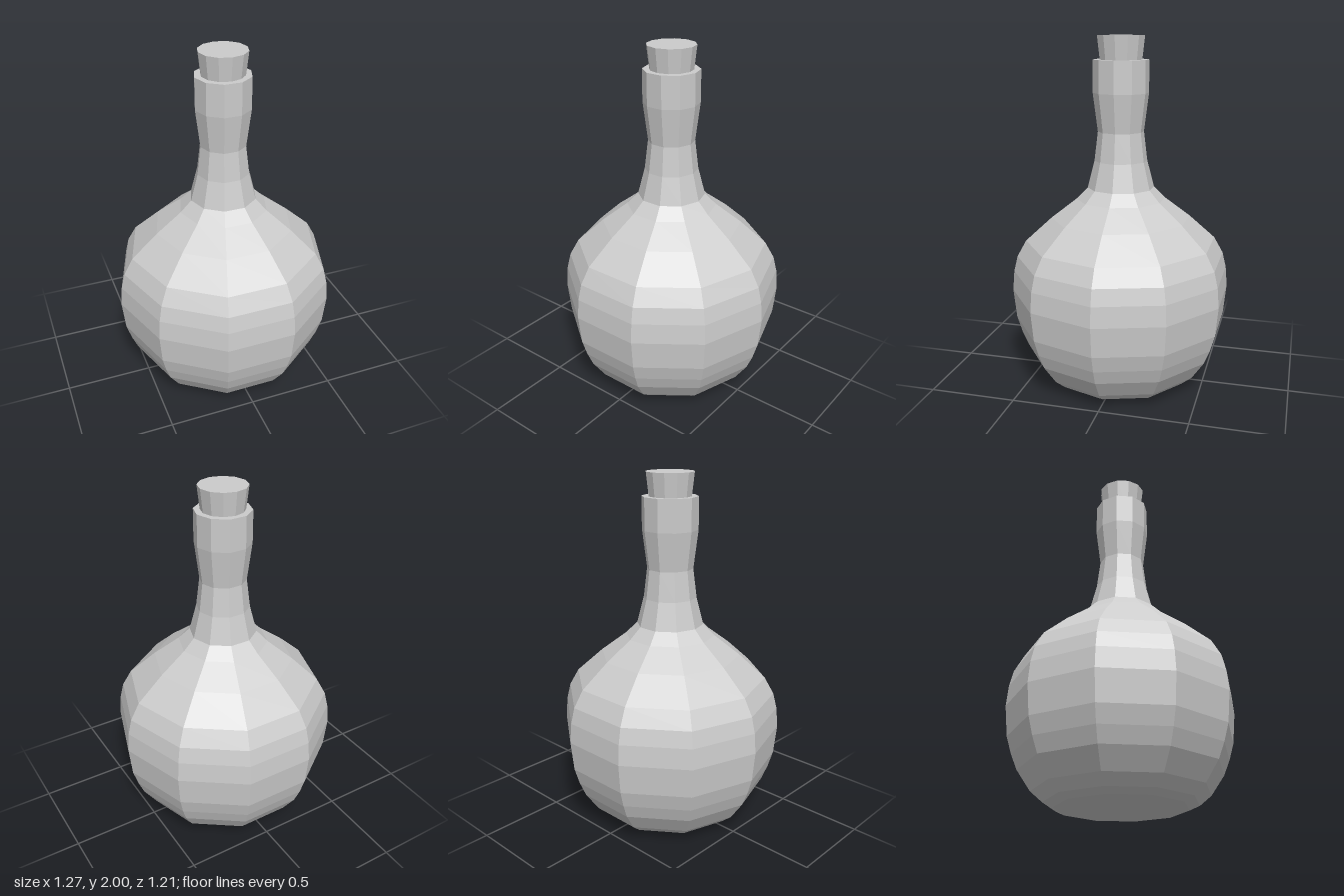
import * as THREE from 'three';

const material = new THREE.MeshStandardMaterial({ color: 0xcccccc, flatShading: true });

// Faceted solid of revolution with a corner on the +x axis; profile runs from bottom to top
function turned(name, profile, sides) {
  const points = profile.map(([r, y]) => new THREE.Vector2(r, y));
  const mesh = new THREE.Mesh(new THREE.LatheGeometry(points, sides, Math.PI / 2), material);
  mesh.name = name;
  return mesh;
}

export function createModel() {
  const group = new THREE.Group();
  group.name = 'corkedFlask';

  // Round body, waisted neck and flat rim in one ten-sided shell
  group.add(turned('flask', [
    [0, 0], [0.36, 0.005], [0.415, 0.03], [0.48, 0.085], [0.555, 0.195],
    [0.59, 0.28], [0.618, 0.375], [0.635, 0.545], [0.625, 0.66], [0.603, 0.75],
    [0.55, 0.845], [0.4, 0.98], [0.255, 1.09], [0.19, 1.155], [0.15, 1.31],
    [0.13, 1.475], [0.157, 1.69], [0.157, 1.87], [0.115, 1.87], [0.11, 1.8],
  ], 10));

  // Tapered cork, seated in the mouth
  group.add(turned('cork', [[0, 1.78], [0.11, 1.78], [0.135, 2], [0, 2]], 12));

  return group;
}
